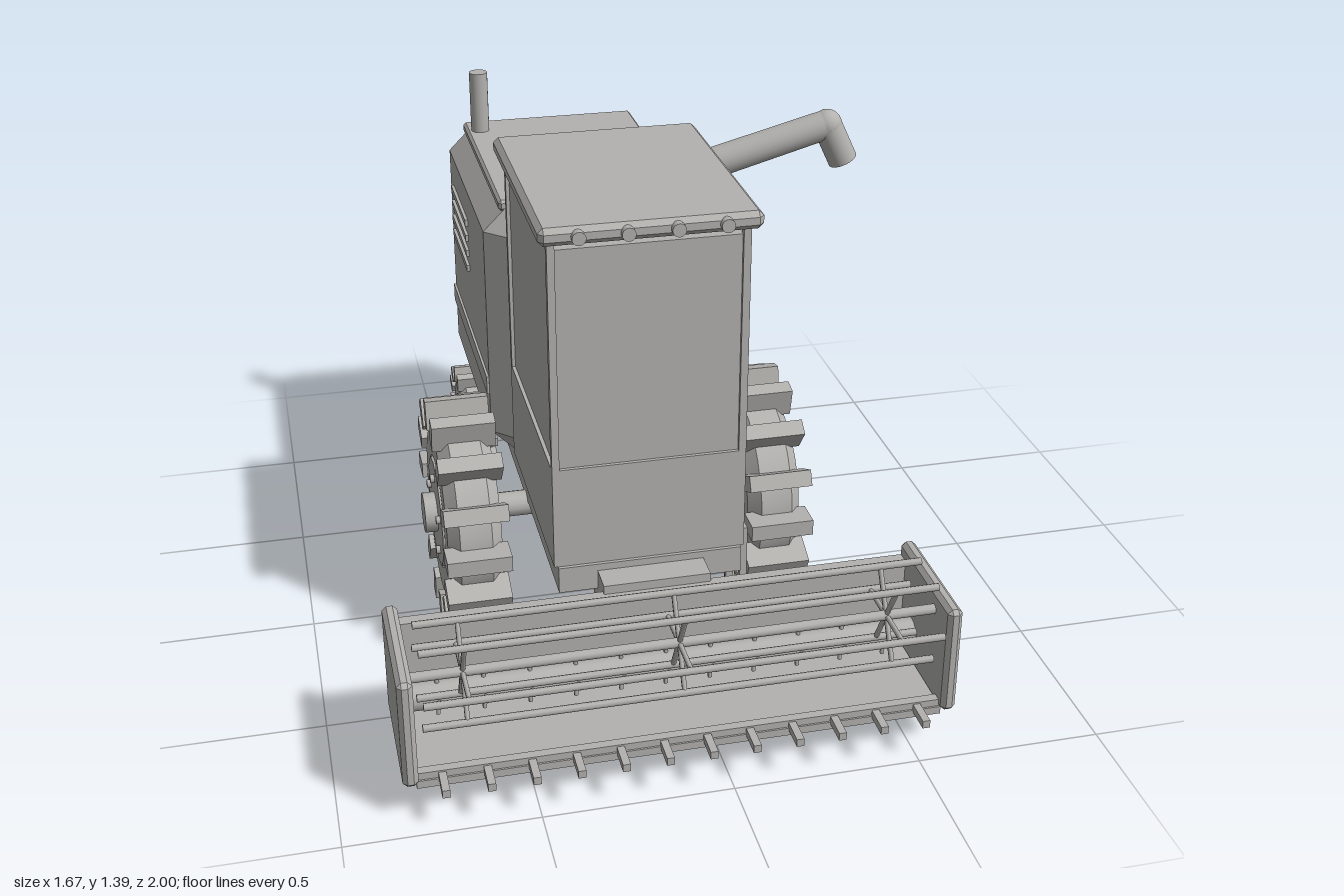
import * as THREE from 'three';
import { toCreasedNormals } from 'three/addons/utils/BufferGeometryUtils.js';
import { ConvexGeometry } from 'three/addons/geometries/ConvexGeometry.js';

const grey = new THREE.MeshStandardMaterial({ color: 0xb3b2af });
grey.name = 'plain grey';

const V = (x, y, z) => new THREE.Vector3(x, y, z);

function add(parent, name, geometry, x = 0, y = 0, z = 0) {
  const mesh = new THREE.Mesh(geometry, grey);
  mesh.name = name;
  mesh.position.set(x, y, z);
  parent.add(mesh);
  return mesh;
}

function section(parent, name) {
  const g = new THREE.Group();
  g.name = name;
  parent.add(g);
  return g;
}

// Box given by its limits on each axis
function box(parent, name, [x0, x1], [y0, y1], [z0, z1]) {
  return add(parent, name, new THREE.BoxGeometry(x1 - x0, y1 - y0, z1 - z0),
    (x0 + x1) / 2, (y0 + y1) / 2, (z0 + z1) / 2);
}

// Box with every edge cut at 45 degrees
function chamferBox(parent, name, [x0, x1], [y0, y1], [z0, z1], c) {
  const a = (x1 - x0) / 2, b = (y1 - y0) / 2, d = (z1 - z0) / 2, pts = [];
  for (const i of [-1, 1]) for (const j of [-1, 1]) for (const k of [-1, 1]) {
    pts.push(V(i * a, j * (b - c), k * (d - c)), V(i * (a - c), j * b, k * (d - c)),
      V(i * (a - c), j * (b - c), k * d));
  }
  return add(parent, name, new ConvexGeometry(pts), (x0 + x1) / 2, (y0 + y1) / 2, (z0 + z1) / 2);
}

// Cylinder running from p to q
function rod(parent, name, p, q, r, sides = 10, rEnd = r) {
  const dir = q.clone().sub(p);
  const mesh = add(parent, name, new THREE.CylinderGeometry(rEnd, r, dir.length(), sides));
  mesh.position.copy(p).add(q).multiplyScalar(0.5);
  mesh.quaternion.setFromUnitVectors(V(0, 1, 0), dir.normalize());
  return mesh;
}

// Wheel with its axle on x; side is +1 or -1 for the outer face
function wheel(parent, name, side, x, y, z, s) {
  const g = section(parent, name);
  g.position.set(side * x, y, z);
  const w = s.width / 2, r = s.tyre;
  const profile = [[0, -w * 0.75], [r * 0.58, -w * 0.75], [r * 0.6, -w * 0.85], [r * 0.86, -w * 0.85],
    [r, -w * 0.5], [r, w * 0.5], [r * 0.86, w * 0.85], [r * 0.6, w * 0.85], [r * 0.58, w * 0.75], [0, w * 0.75]];
  const tyre = new THREE.LatheGeometry(profile.map(p => new THREE.Vector2(...p)), 28);
  add(g, 'tyre', toCreasedNormals(tyre, 0.5)).rotation.z = -Math.PI / 2;
  const lugGeo = new THREE.BoxGeometry(s.width, s.lug - r * 0.9, s.lugThick);
  for (let i = 0; i < 14; i++) {
    const a = i / 14 * Math.PI * 2, m = (s.lug + r * 0.9) / 2;
    add(g, 'treadLug', lugGeo, 0, Math.sin(a) * m, Math.cos(a) * m).rotation.x = Math.PI / 2 - a;
  }
  const out = v => side * v;
  rod(g, 'rim', V(out(w * 0.6), 0, 0), V(out(w * 0.9), 0, 0), r * 0.58, 12);
  rod(g, 'hub', V(out(w * 0.6), 0, 0), V(out(s.hubOut), 0, 0), r * 0.21, 12);
  for (let i = 0; i < 5; i++) {
    const a = i / 5 * Math.PI * 2 + 0.3, by = Math.sin(a) * r * 0.4, bz = Math.cos(a) * r * 0.4;
    rod(g, 'wheelBolt', V(out(w * 0.8), by, bz), V(out(w * 1.03), by, bz), r * 0.045, 8);
  }
}

function buildCab(root) {
  const cab = section(root, 'cab');
  box(cab, 'cabBase', [-0.26, 0.26], [0.425, 0.715], [-0.135, 0.52]);
  box(cab, 'cabGlass', [-0.25, 0.25], [0.715, 1.325], [-0.125, 0.51]);
  for (const x of [-0.25, 0.25]) for (const z of [-0.125, 0.51]) {
    box(cab, 'cabPost', [x - 0.01, x + 0.01], [0.7, 1.36], [z - 0.01, z + 0.01]);
  }
  chamferBox(cab, 'cabRoof', [-0.285, 0.285], [1.348, 1.396], [-0.165, 0.552], 0.014);
  for (const x of [-0.187, -0.063, 0.063, 0.187]) {
    rod(cab, 'roofLamp', V(x, 1.372, 0.53), V(x, 1.372, 0.568), 0.018, 14);
  }
}

function buildBody(root) {
  const body = section(root, 'body');
  chamferBox(body, 'engineHousing', [-0.315, 0.315], [0.397, 1.165], [-0.99, -0.145], 0.066);
  chamferBox(body, 'tankLid', [-0.268, 0.268], [1.155, 1.187], [-0.93, -0.21], 0.008);
  for (const s of [-1, 1]) {
    add(body, 'sideBelt', new THREE.BoxGeometry(0.016, 0.055, 0.71), s * 0.314, 0.613, -0.568);
    for (let i = 0; i < 4; i++) {
      add(body, 'ventSlat', new THREE.BoxGeometry(0.016, 0.02, 0.31), s * 0.316, 0.85 + i * 0.049, -0.7);
    }
    add(body, 'tailLamp', new THREE.BoxGeometry(0.07, 0.04, 0.02), s * 0.225, 0.56, -0.99);
  }
  rod(body, 'exhaustPipe', V(-0.226, 1.15, -0.84), V(-0.226, 1.372, -0.84), 0.028, 16);

  // Unloading spout on the left side
  const spout = section(root, 'unloadingSpout');
  const elbow = V(0.845, 1.183, -0.66);
  rod(spout, 'spoutTube', V(0.23, 0.99, -0.725), elbow, 0.052, 20, 0.047);
  add(spout, 'spoutElbow', new THREE.SphereGeometry(0.048, 20, 14)).position.copy(elbow);
  rod(spout, 'spoutNozzle', elbow, V(0.902, 1.063, -0.66), 0.047, 20);
}

function buildChassis(root) {
  const chassis = section(root, 'chassis');
  box(chassis, 'frame', [-0.25, 0.25], [0.35, 0.425], [-0.735, 0.53]);
  rod(chassis, 'frontAxle', V(-0.4, 0.33, 0), V(0.4, 0.33, 0), 0.037, 14);
  rod(chassis, 'rearAxle', V(-0.28, 0.2, -0.804), V(0.28, 0.2, -0.804), 0.022, 12);
  box(chassis, 'steeringPost', [-0.05, 0.05], [0.15, 0.42], [-0.85, -0.76]);
  const big = { width: 0.18, tyre: 0.275, lug: 0.332, lugThick: 0.046, hubOut: 0.117 };
  const small = { width: 0.106, tyre: 0.148, lug: 0.182, lugThick: 0.028, hubOut: 0.075 };
  for (const s of [-1, 1]) {
    wheel(chassis, 'frontWheel', s, 0.432, 0.33, -0.005, big);
    wheel(chassis, 'rearWheel', s, 0.293, 0.2, -0.804, small);
  }
  // Access ladder on the left side
  const ladder = section(chassis, 'ladder');
  for (const z of [0.328, 0.462]) box(ladder, 'ladderRail', [0.265, 0.285], [0.155, 0.445], [z - 0.008, z + 0.008]);
  for (const y of [0.2, 0.283, 0.366, 0.437]) box(ladder, 'ladderRung', [0.265, 0.285], [y - 0.007, y + 0.007], [0.328, 0.462]);
}

function buildHeader(root) {
  const header = section(root, 'header');
  box(header, 'feederHouse', [-0.145, 0.145], [0.215, 0.405], [0.475, 0.61]);
  for (const s of [-1, 1]) {
    const x = [s * 0.685, s * 0.725].sort((a, b) => a - b);
    chamferBox(header, 'endPlate', x, [0.107, 0.418], [0.583, 0.95], 0.012);
  }
  box(header, 'backWall', [-0.69, 0.69], [0.09, 0.38], [0.595, 0.63]);
  box(header, 'floor', [-0.69, 0.69], [0.09, 0.112], [0.6, 0.93]);
  box(header, 'knifeBar', [-0.69, 0.69], [0.098, 0.132], [0.9, 0.925]);
  for (let i = 0; i < 12; i++) {
    const x = (i - 5.5) * 0.1135;
    box(header, 'knifeTooth', [x - 0.01, x + 0.01], [0.105, 0.127], [0.915, 1.0]);
  }

  // Feed auger with crossed pins
  rod(header, 'feedAuger', V(-0.69, 0.205, 0.705), V(0.69, 0.205, 0.705), 0.037, 16);
  for (let i = -5; i <= 5; i++) {
    const x = i * 0.121;
    rod(header, 'augerPin', V(x, 0.143, 0.705), V(x, 0.268, 0.705), 0.006, 6);
    rod(header, 'augerPin', V(x, 0.205, 0.643), V(x, 0.205, 0.767), 0.006, 6);
  }

  // Six-bar reel
  const reel = section(header, 'reel');
  reel.position.set(0, 0.366, 0.848);
  rod(reel, 'reelShaft', V(-0.69, 0, 0), V(0.69, 0, 0), 0.014, 10);
  for (let i = 0; i < 6; i++) {
    const a = i / 6 * Math.PI * 2, y = Math.sin(a) * 0.127, z = Math.cos(a) * 0.127;
    rod(reel, 'reelBar', V(-0.665, y, z), V(0.665, y, z), 0.01, 8);
    for (const x of [-0.553, 0, 0.553]) rod(reel, 'reelSpoke', V(x, 0, 0), V(x, y, z), 0.007, 6);
  }
}

export function createModel() {
  const root = new THREE.Group();
  root.name = 'combineHarvester';
  const machine = section(root, 'machine');
  machine.position.x = -0.112;
  buildCab(machine);
  buildBody(machine);
  buildChassis(machine);
  buildHeader(machine);
  return root;
}
